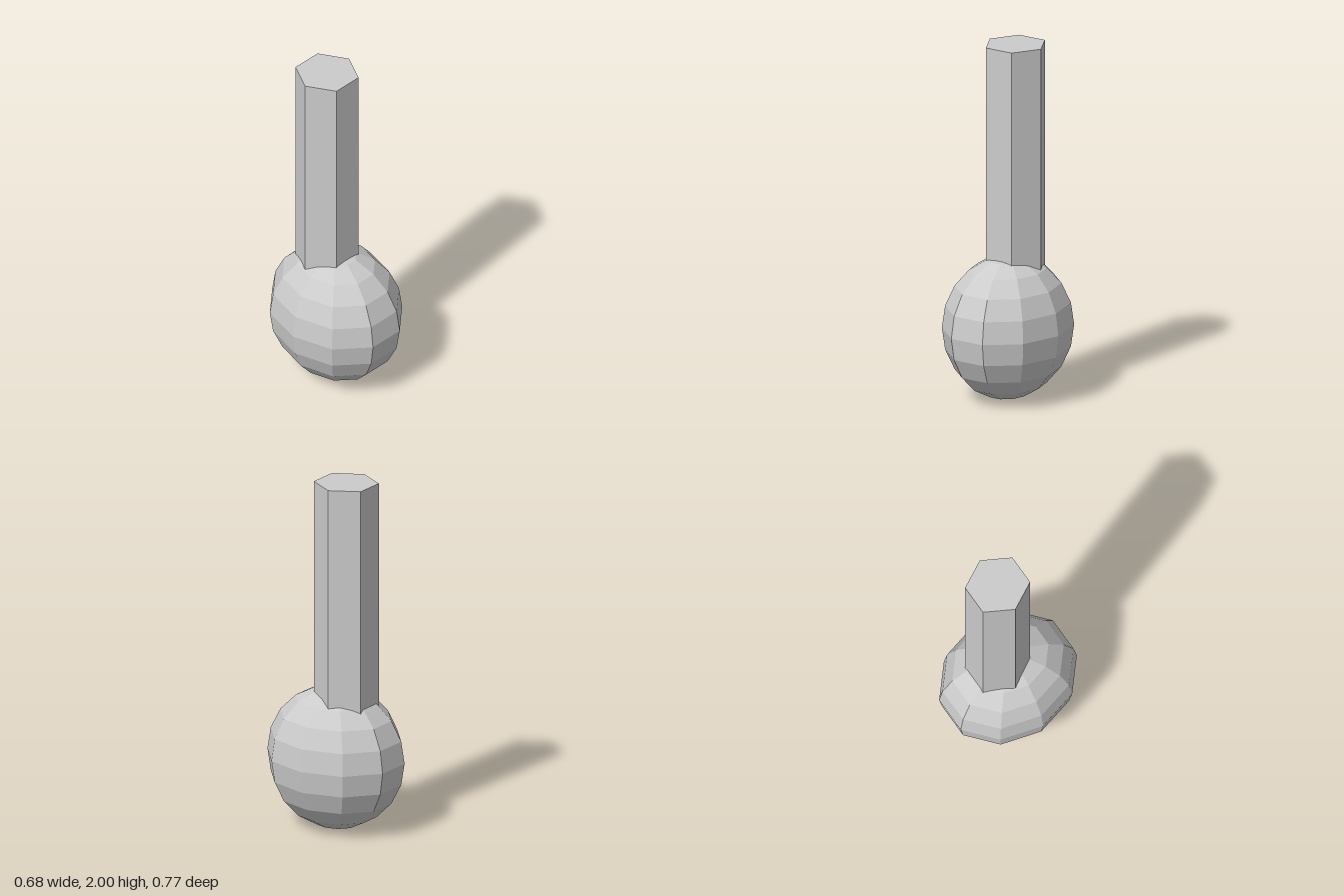
import * as THREE from 'three';

export function createModel() {
  const group = new THREE.Group();
  const material = new THREE.MeshStandardMaterial({ color: 0xcccccc, flatShading: true });

  // Faceted bulb, narrower across x than along z
  const bulb = new THREE.Mesh(new THREE.SphereGeometry(1, 10, 10), material);
  bulb.name = 'bulb';
  bulb.scale.set(0.34, 0.405, 0.405);
  bulb.position.y = 0.405;
  group.add(bulb);

  // Six-sided stem, set slightly behind the centre and sunk into the bulb
  const bottom = 0.45, top = 2;
  const stemGeometry = new THREE.CylinderGeometry(1, 1, top - bottom, 6, 1, false, Math.PI / 6);
  const stem = new THREE.Mesh(stemGeometry, material);
  stem.name = 'stem';
  stem.scale.set(0.173, 1, 0.181);
  stem.position.set(0, (top + bottom) / 2, -0.069);
  group.add(stem);

  return group;
}
